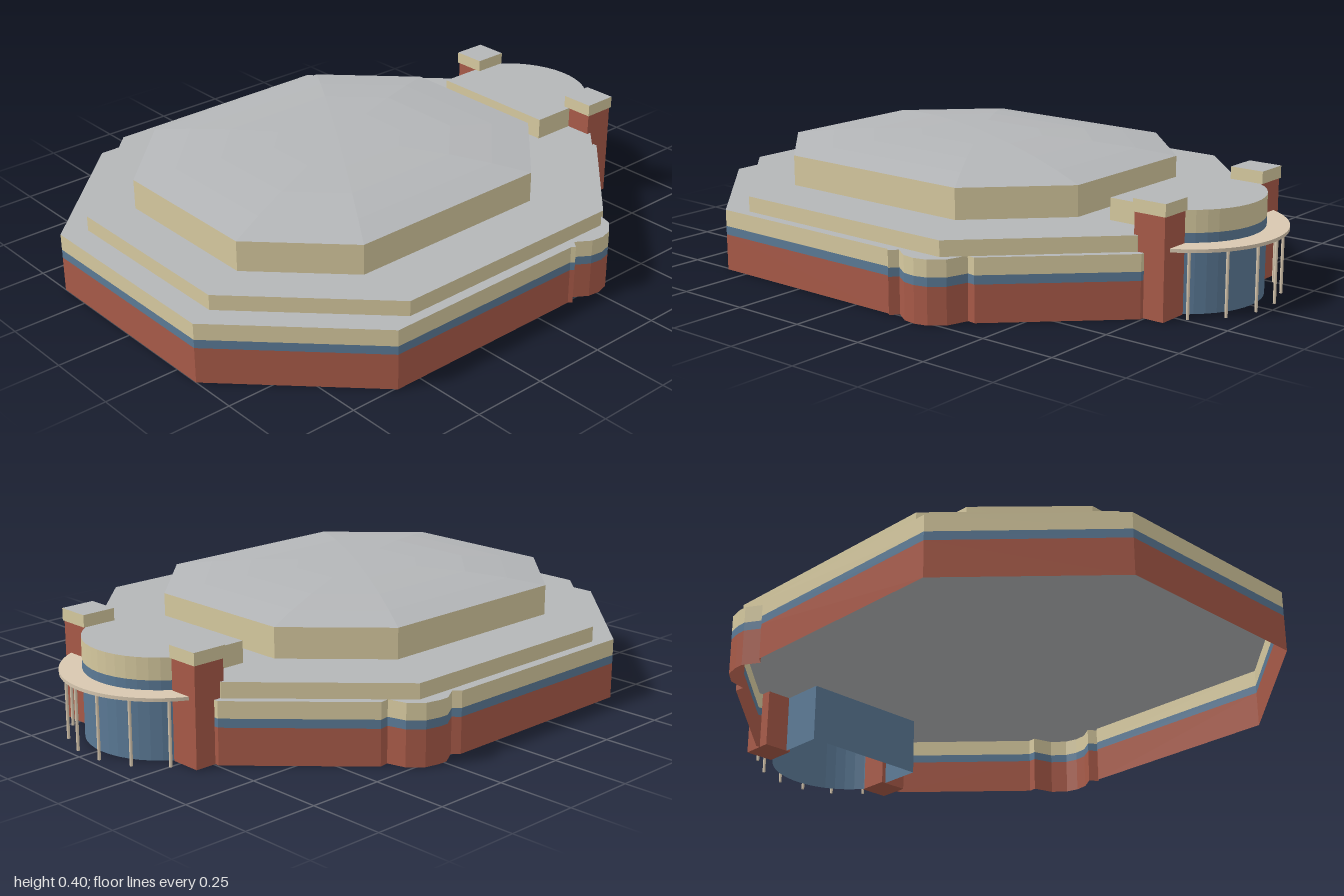
import * as THREE from 'three';

const mat = (name, color, side = THREE.DoubleSide) => {
  const m = new THREE.MeshStandardMaterial({ color, side });
  m.name = name;
  return m;
};

export function createModel() {
  const model = new THREE.Group();
  model.name = 'octagonalHall';
  const brick = mat('brick red', 0xa85a48);
  const blue = mat('band blue', 0x5b7a96);
  const cream = mat('stone cream', 0xd6c99f);
  const roof = mat('roof grey', 0xb4b6b8);
  const trim = mat('canopy beige', 0xd8c8b0);
  const ZC = -0.007; // plan centre line

  const add = (name, geo, material) => {
    const mesh = new THREE.Mesh(geo, material);
    mesh.name = name;
    model.add(mesh);
    return mesh;
  };
  const shapeOf = pts => new THREE.Shape(pts.map(([x, z]) => new THREE.Vector2(x, z)));

  // Surface lofted between rings of [x, y, z] points, flat shaded
  const loft = (rings, closed) => {
    const pos = [];
    for (let r = 0; r < rings.length - 1; r++) {
      const a = rings[r], b = rings[r + 1], n = a.length;
      for (let i = 0; i < (closed ? n : n - 1); i++) {
        const j = (i + 1) % n;
        pos.push(...a[i], ...b[i], ...a[j], ...a[j], ...b[i], ...b[j]);
      }
    }
    const g = new THREE.BufferGeometry();
    g.setAttribute('position', new THREE.Float32BufferAttribute(pos, 3));
    g.computeVertexNormals();
    return g;
  };
  const wall = (pts, y0, y1, closed) =>
    loft([y0, y1].map(y => pts.map(([x, z]) => [x, y, z])), closed);
  const lid = (pts, y) => new THREE.ShapeGeometry(shapeOf(pts)).rotateX(Math.PI / 2).translate(0, y, 0);
  const slab = (pts, y0, y1) =>
    new THREE.ExtrudeGeometry(shapeOf(pts), { depth: y1 - y0, bevelEnabled: false })
      .rotateX(Math.PI / 2).translate(0, y1, 0);

  // Main wall outline with a rounded bay on each of two corners, open at the entrance
  const outline = [
    [0.745, -0.237], [0.745, -0.34], [0.409, -0.676], [0.377, -0.671], [0.361, -0.73],
    [0.318, -0.77], [0.27, -0.781], [0.238, -0.781], [0.184, -0.749], [0.163, -0.77],
    [-0.58, -0.77], [-1, -0.361], [-1, 0.342], [-0.586, 0.757], [0.136, 0.757],
    [0.147, 0.767], [0.168, 0.741], [0.217, 0.773], [0.26, 0.778], [0.302, 0.767],
    [0.345, 0.73], [0.366, 0.66], [0.393, 0.663], [0.745, 0.325], [0.745, 0.223],
  ];
  add('lowerBrickWall', wall(outline, 0, 0.118), brick);
  add('wallBand', wall(outline, 0.118, 0.146), blue);
  add('upperWall', wall(outline, 0.146, 0.2), cream);
  add('lowerRoofDeck', lid(outline, 0.2), roof);

  // Stepped octagonal tiers
  const octagon = (x0, x1, hz, cut) => [
    [x1, ZC - hz + cut], [x1 - cut, ZC - hz], [x0 + cut, ZC - hz], [x0, ZC - hz + cut],
    [x0, ZC + hz - cut], [x0 + cut, ZC + hz], [x1 - cut, ZC + hz], [x1, ZC + hz - cut],
  ];
  const upper = octagon(-0.775, 0.46, 0.53, 0.265);
  add('middleTier', slab(octagon(-0.92, 0.722, 0.73, 0.41), 0.2, 0.25), [roof, cream]);
  add('upperTier', slab(upper, 0.25, 0.35), [roof, cream]);

  // Shallow faceted dome
  const cx = -0.157;
  const rings = [[1, 0.35], [0.8, 0.368], [0.58, 0.382], [0.32, 0.392], [0.001, 0.397]]
    .map(([s, y]) => upper.map(([x, z]) => [cx + (x - cx) * s, y, ZC + (z - ZC) * s]));
  add('domeRoof', loft(rings, true), roof);

  // Entrance pavilion: square back, rounded front
  const ex = 0.669;
  const arc = (r, max, n) => Array.from({ length: n + 1 }, (_, i) => {
    const a = -max + 2 * max * i / n;
    return [ex + r * Math.cos(a), ZC + r * Math.sin(a)];
  });
  const front = arc(0.255, Math.asin(0.23 / 0.255), 16);
  const pavilion = [[0.556, ZC + 0.23], [0.556, ZC - 0.23], ...front].reverse();
  add('pavilionGlazing', wall(pavilion, 0, 0.25, true), blue);
  add('pavilionFascia', wall(pavilion, 0.25, 0.32, true), cream);
  add('pavilionRoof', lid(pavilion, 0.32), roof);

  // Curved canopy on slim posts
  const canopy = [...arc(0.326, 1.1, 28), ...arc(0.25, 1.1, 28).reverse()];
  add('canopy', slab(canopy, 0.209, 0.22), trim);
  for (const side of [-1, 1]) {
    for (const deg of [10, 31, 53]) {
      const a = side * deg * Math.PI / 180;
      add('canopyPost', new THREE.CylinderGeometry(0.005, 0.005, 0.21, 8), trim)
        .position.set(ex + 0.306 * Math.cos(a), 0.105, ZC + 0.306 * Math.sin(a));
    }
    // Brick piers with stone caps
    const z = ZC + side * 0.266;
    add('entrancePier', new THREE.BoxGeometry(0.108, 0.32, 0.104), brick).position.set(0.762, 0.16, z);
    add('pierCap', new THREE.BoxGeometry(0.116, 0.04, 0.112),
      [cream, cream, roof, cream, cream, cream]).position.set(0.762, 0.34, z);
  }
  return model;
}
